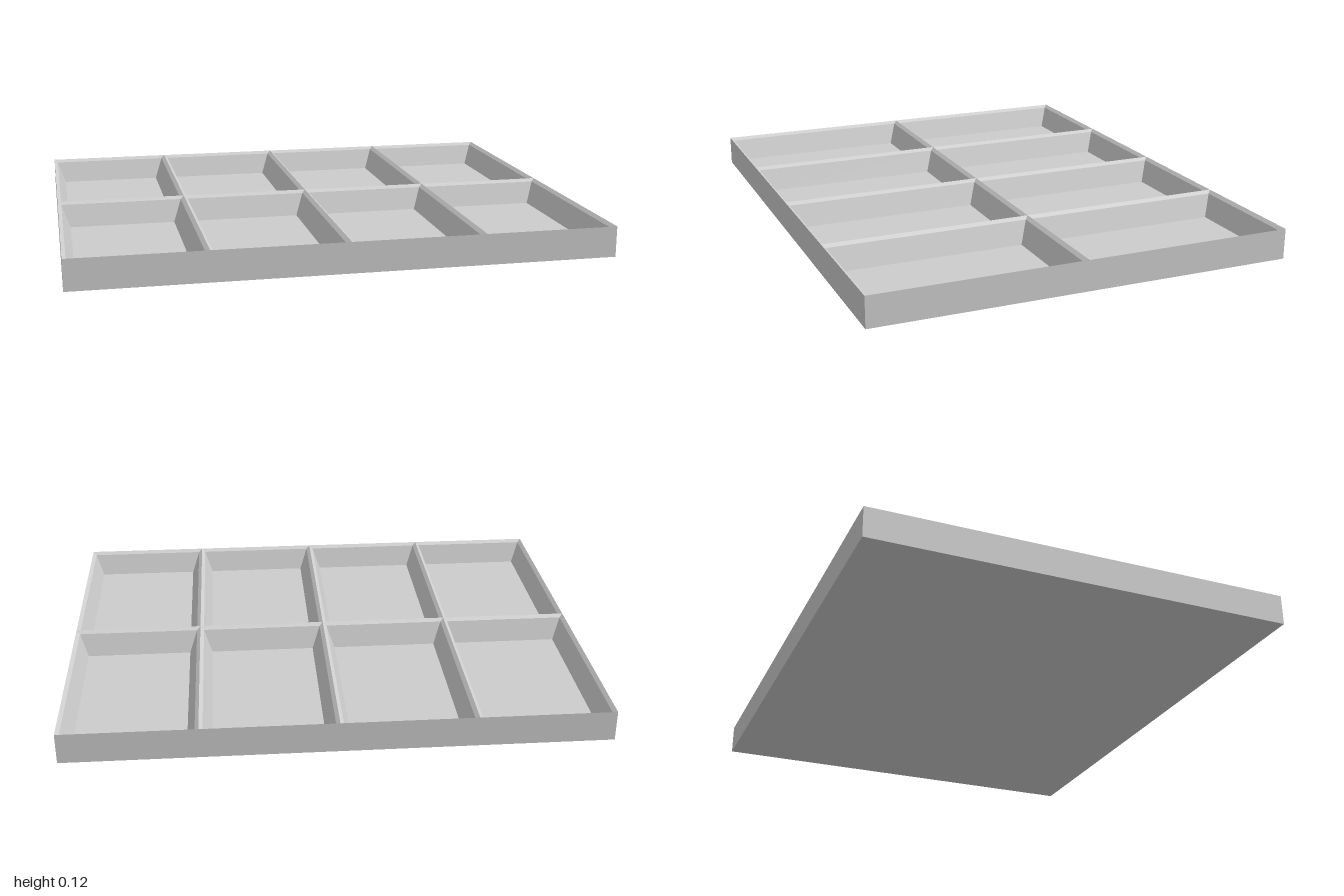
import * as THREE from 'three';

const WIDTH = 2, DEPTH = 1.606, HEIGHT = 0.116;
const COLS = 4, ROWS = 2;

// Rectangle corners, counter-clockwise seen from above
function ring(w, d, inset, y) {
  const x = w / 2 - inset, z = d / 2 - inset;
  return [[x, y, z], [x, y, -z], [-x, y, -z], [-x, y, z]];
}

// Flat-faced skin through a list of rings, plus one closing face
function loft(rings, cap) {
  const pos = [];
  const quad = (a, b, c, d) => pos.push(...a, ...b, ...c, ...a, ...c, ...d);
  for (let r = 0; r < rings.length - 1; r++) {
    for (let i = 0; i < 4; i++) {
      const j = (i + 1) % 4;
      quad(rings[r][i], rings[r][j], rings[r + 1][j], rings[r + 1][i]);
    }
  }
  quad(...cap);
  const geo = new THREE.BufferGeometry();
  geo.setAttribute('position', new THREE.Float32BufferAttribute(pos, 3));
  geo.computeVertexNormals();
  return geo;
}

export function createModel() {
  const group = new THREE.Group();
  group.name = 'compartmentTray';
  const material = new THREE.MeshStandardMaterial({ color: 0xcccccc, flatShading: true });

  // Outer walls and underside
  const bottom = ring(WIDTH, DEPTH, 0, 0);
  const top = ring(WIDTH, DEPTH, 0, HEIGHT);
  const shell = new THREE.Mesh(loft([bottom, top], [...bottom].reverse()), material);
  shell.name = 'outerShell';
  group.add(shell);

  // Compartment: chamfered rim, sloping walls, flat floor
  const cellW = WIDTH / COLS, cellD = DEPTH / ROWS;
  const profile = [[0, HEIGHT], [0.014, HEIGHT - 0.011], [0.045, 0.02]];
  const rings = profile.map(([inset, y]) => ring(cellW, cellD, inset, y));
  const pocket = loft(rings, rings[rings.length - 1]);

  for (let r = 0; r < ROWS; r++) {
    for (let c = 0; c < COLS; c++) {
      const cell = new THREE.Mesh(pocket, material);
      cell.name = `compartment_${r + 1}_${c + 1}`;
      cell.position.set((c + 0.5) * cellW - WIDTH / 2, 0, (r + 0.5) * cellD - DEPTH / 2);
      group.add(cell);
    }
  }
  return group;
}
